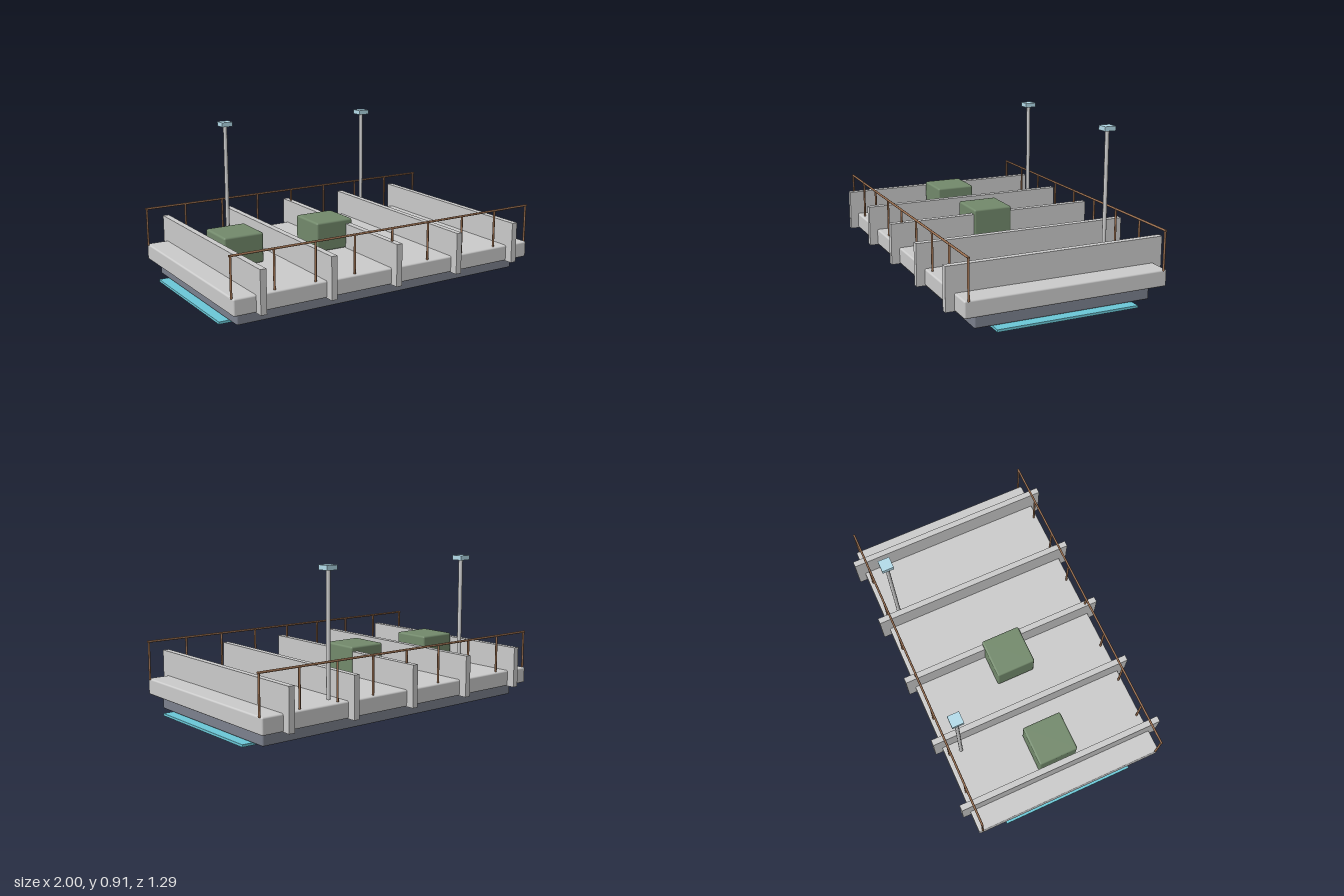
import * as THREE from 'three';
import { RoundedBoxGeometry } from 'three/addons/geometries/RoundedBoxGeometry.js';

const mat = (color) => new THREE.MeshStandardMaterial({ color });

export function createModel() {
  const model = new THREE.Group();
  const grey = mat(0xcccccc), dark = mat(0x7c818e), brown = mat(0x9a6f50);
  const green = mat(0x738a6c), glass = mat(0xb4dcea), cyan = mat(0x6cc8d8);

  function add(name, geometry, material, x, y, z) {
    const mesh = new THREE.Mesh(geometry, material);
    mesh.name = name;
    mesh.position.set(x, y, z);
    model.add(mesh);
    return mesh;
  }
  const box = (w, h, d) => new THREE.BoxGeometry(w, h, d);
  const rounded = (w, h, d, r) => new RoundedBoxGeometry(w, h, d, 2, r);

  // Stacked base: glowing plate, dark hull, deck
  add('basePlate', box(1.986, 0.014, 0.832), cyan, 0, 0.007, 0);
  add('lowerHull', rounded(1.88, 0.078, 1.04, 0.01), dark, 0, 0.054, 0);
  add('deck', rounded(1.984, 0.096, 1.19, 0.01), grey, 0, 0.144, 0);

  // Cross walls running past both deck edges
  for (let i = -2; i <= 2; i++) {
    add('crossWall', box(0.036, 0.245, 1.288), grey, i * 0.4225, 0.2175, 0);
  }

  // Cargo crates
  for (const x of [-0.69, -0.095]) {
    add('crate', rounded(0.244, 0.176, 0.244, 0.012), green, x, 0.281, 0);
  }

  // Railings along both long sides
  const post = new THREE.CylinderGeometry(0.0065, 0.0065, 0.23, 8);
  const rail = new THREE.CylinderGeometry(0.0065, 0.0065, 2, 8);
  for (const z of [-0.572, 0.572]) {
    add('handrail', rail, brown, 0, 0.414, z).rotation.z = Math.PI / 2;
    for (let i = -4; i <= 4; i++) add('railPost', post, brown, i * 0.248, 0.302, z);
  }

  // Lamp masts at the back
  const mast = new THREE.CylinderGeometry(0.012, 0.012, 0.7, 10);
  for (const x of [-0.497, 0.497]) {
    add('mast', mast, grey, x, 0.538, -0.496);
    add('lampHead', box(0.07, 0.027, 0.07), glass, x, 0.8975, -0.496);
  }
  return model;
}
